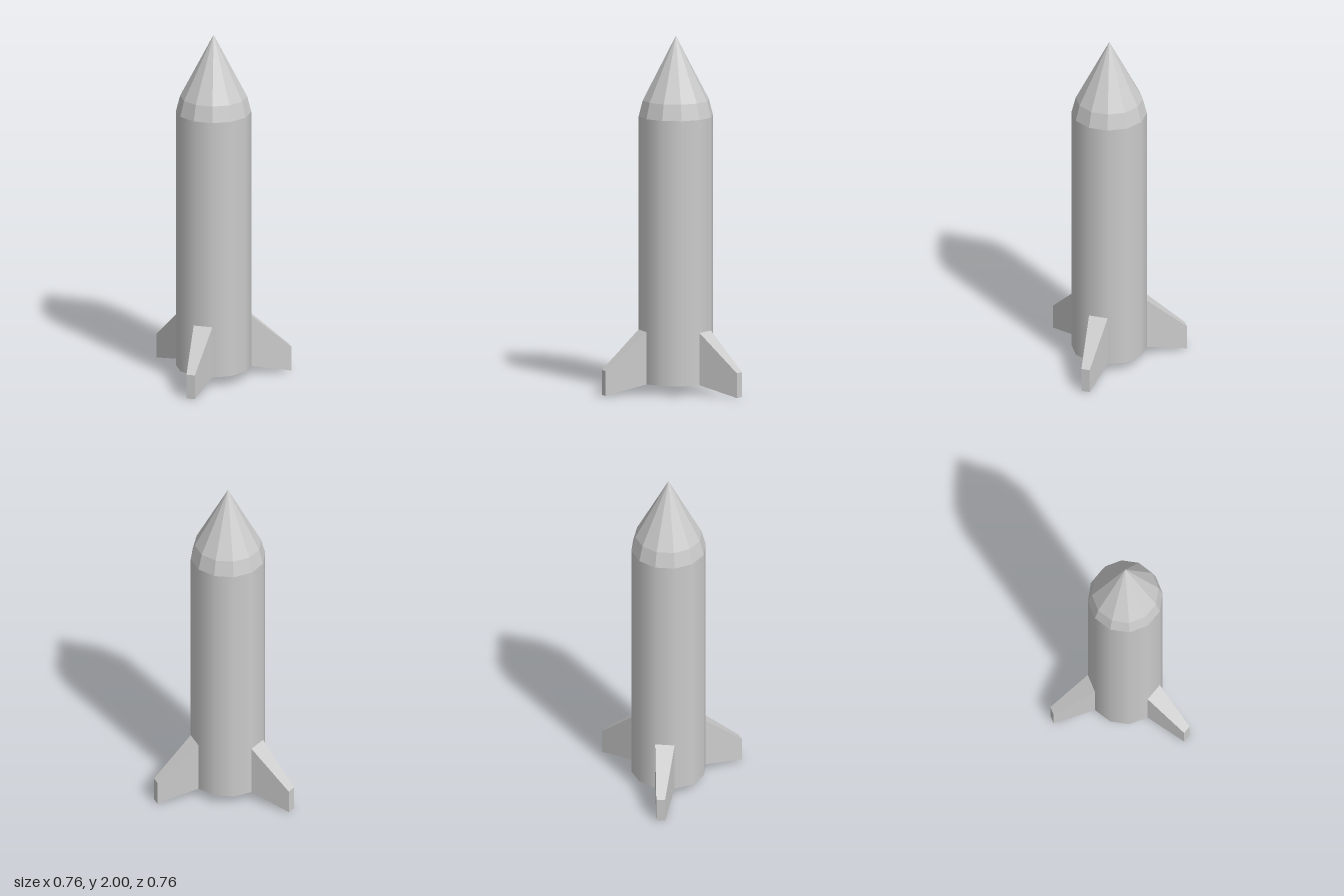
import * as THREE from 'three';

const SIDES = 12, RADIUS = 0.21;
const BASE_Y = 0.055, SHOULDER_Y = 1.55;

// Tapered, swept fin pointing along +x, rooted on one flat side of the hull
function finGeometry() {
  const root = { x: RADIUS * Math.cos(Math.PI / SIDES), half: RADIUS * Math.sin(Math.PI / SIDES), low: BASE_Y, high: 0.35 };
  const tip = { x: 0.439, half: 0.0244, low: 0, high: 0.14 };
  const geometry = new THREE.BoxGeometry(1, 1, 1).toNonIndexed();
  const p = geometry.attributes.position;
  for (let i = 0; i < p.count; i++) {
    const end = p.getX(i) > 0 ? tip : root;
    p.setXYZ(i, end.x, p.getY(i) > 0 ? end.high : end.low, Math.sign(p.getZ(i)) * end.half);
  }
  geometry.computeVertexNormals();
  return geometry;
}

export function createModel() {
  const rocket = new THREE.Group();
  rocket.name = 'rocket';
  const smooth = new THREE.MeshStandardMaterial({ color: 0xcccccc });
  const faceted = new THREE.MeshStandardMaterial({ color: 0xcccccc, flatShading: true });

  const add = (name, geometry, material) => {
    const mesh = new THREE.Mesh(geometry, material);
    mesh.name = name;
    rocket.add(mesh);
    return mesh;
  };

  // Hull: smooth-shaded twelve-sided tube with a flat base
  const hull = add('hull', new THREE.CylinderGeometry(RADIUS, RADIUS, SHOULDER_Y - BASE_Y, SIDES), smooth);
  hull.position.y = (SHOULDER_Y + BASE_Y) / 2;

  // Nose: short shoulder ring, then a faceted cone
  const profile = [[RADIUS, SHOULDER_Y], [0.187, 1.64], [0, 2]].map(([r, y]) => new THREE.Vector2(r, y));
  add('noseCone', new THREE.LatheGeometry(profile, SIDES), faceted);

  // Three fins, evenly spaced
  const fin = finGeometry();
  for (let i = 0; i < 3; i++) {
    add('fin' + (i + 1), fin, faceted).rotation.y = Math.PI / 12 + (i * Math.PI * 2) / 3;
  }

  // The hull axis sits off centre so that the fin span is centred
  rocket.children.forEach((part) => {
    part.position.x = -0.052;
    part.position.z = -0.052;
  });
  return rocket;
}
